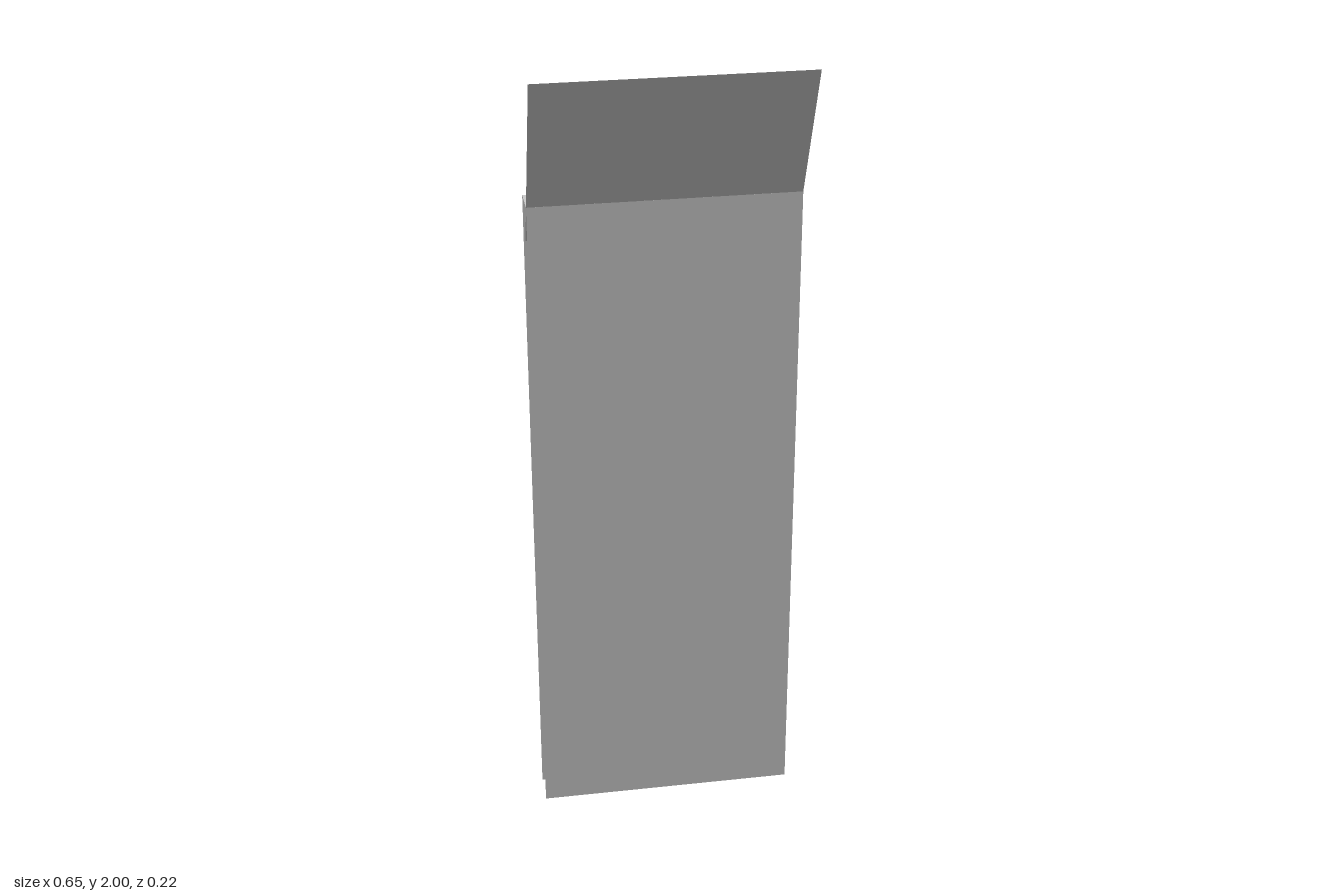
import * as THREE from 'three';

const WIDTH = 0.648;

// Flat sheet spanning the full width between two [y, z] edges
function sheet(name, [y0, z0], [y1, z1], material) {
  const dy = y1 - y0, dz = z1 - z0;
  const geometry = new THREE.PlaneGeometry(WIDTH, Math.hypot(dy, dz));
  geometry.rotateX(Math.atan2(dz, dy));
  geometry.translate(0, (y0 + y1) / 2, (z0 + z1) / 2);
  const mesh = new THREE.Mesh(geometry, material);
  mesh.name = name;
  return mesh;
}

export function createModel() {
  const group = new THREE.Group();
  group.name = 'foldedPanel';
  const material = new THREE.MeshStandardMaterial({
    color: 0xcccccc, flatShading: true, side: THREE.DoubleSide,
  });

  const top = 1.667, front = -0.027, back = -0.111;
  group.add(
    // Two upright panels joined by a narrow top strip
    sheet('frontPanel', [0, front], [top, front], material),
    sheet('backPanel', [0, back], [top, back], material),
    sheet('topStrip', [top, front], [top, back], material),
    // Flap leaning forward, its lower end tucked between the panels
    sheet('slantedFlap', [1.57, -0.067], [2, 0.11], material),
  );
  return group;
}
